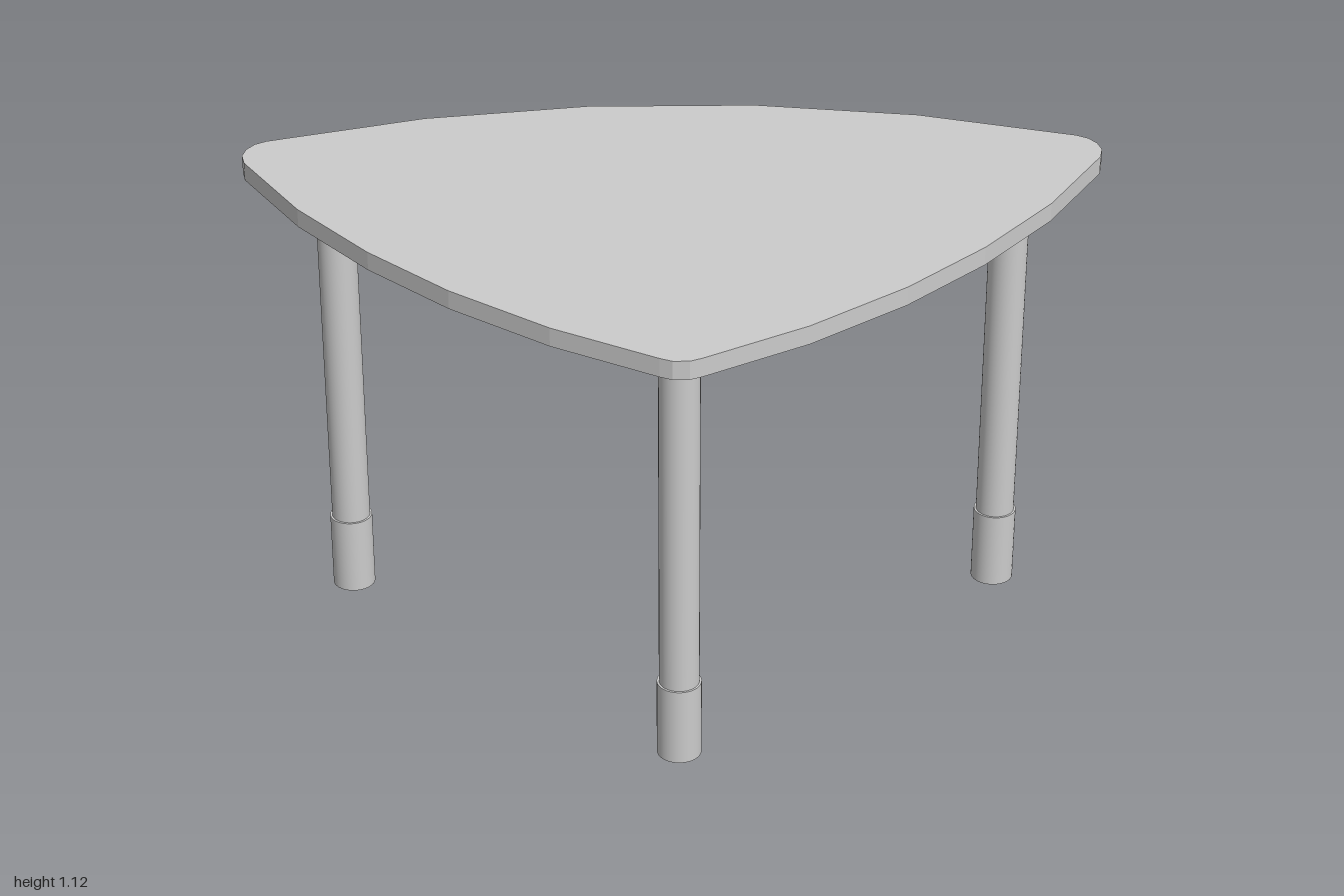
import * as THREE from 'three';

const TOP = 1.12, UNDERSIDE = 1.076, PLATE = 0.005, FOOT = 0.19;

export function createModel() {
  const model = new THREE.Group();
  const material = new THREE.MeshStandardMaterial({ color: 0xcccccc });

  function add(parent, name, geometry, y) {
    const mesh = new THREE.Mesh(geometry, material);
    mesh.name = name;
    mesh.position.y = y;
    parent.add(mesh);
  }

  // Tabletop: left half of the outline (x, z) from back to front, then mirrored
  const half = [
    [0.2, -0.652], [0.585, -0.588], [0.95, -0.465], [0.975, -0.448], [0.993, -0.42],
    [1, -0.385], [0.992, -0.345], [0.85, -0.095], [0.68, 0.125], [0.495, 0.315],
    [0.275, 0.492], [0.045, 0.633], [0.018, 0.646],
  ];
  const outline = [...half, ...half.map(([x, z]) => [-x, z]).reverse()];
  const shape = new THREE.Shape(outline.map(([x, z]) => new THREE.Vector2(x, -z)));
  const topGeometry = new THREE.ExtrudeGeometry(shape, { depth: TOP - UNDERSIDE, bevelEnabled: false });
  topGeometry.rotateX(-Math.PI / 2);
  add(model, 'tabletop', topGeometry, UNDERSIDE);

  // Legs: foot sleeve, post and a thin square mounting plate turned to suit the corner
  function addLeg(name, x, z, turn) {
    const leg = new THREE.Group();
    leg.name = name;
    leg.position.set(x, 0, z);
    leg.rotation.y = THREE.MathUtils.degToRad(turn);
    const postHeight = UNDERSIDE - FOOT;
    add(leg, 'foot', new THREE.CylinderGeometry(0.051, 0.051, FOOT, 32), FOOT / 2);
    add(leg, 'post', new THREE.CylinderGeometry(0.046, 0.046, postHeight, 32), FOOT + postHeight / 2);
    add(leg, 'mountingPlate', new THREE.BoxGeometry(0.205, PLATE, 0.205), UNDERSIDE - PLATE / 2);
    model.add(leg);
  }
  addLeg('frontLeg', 0, 0.43, 0);
  addLeg('backLeftLeg', 0.785, -0.325, 23);
  addLeg('backRightLeg', -0.785, -0.325, -23);

  return model;
}
